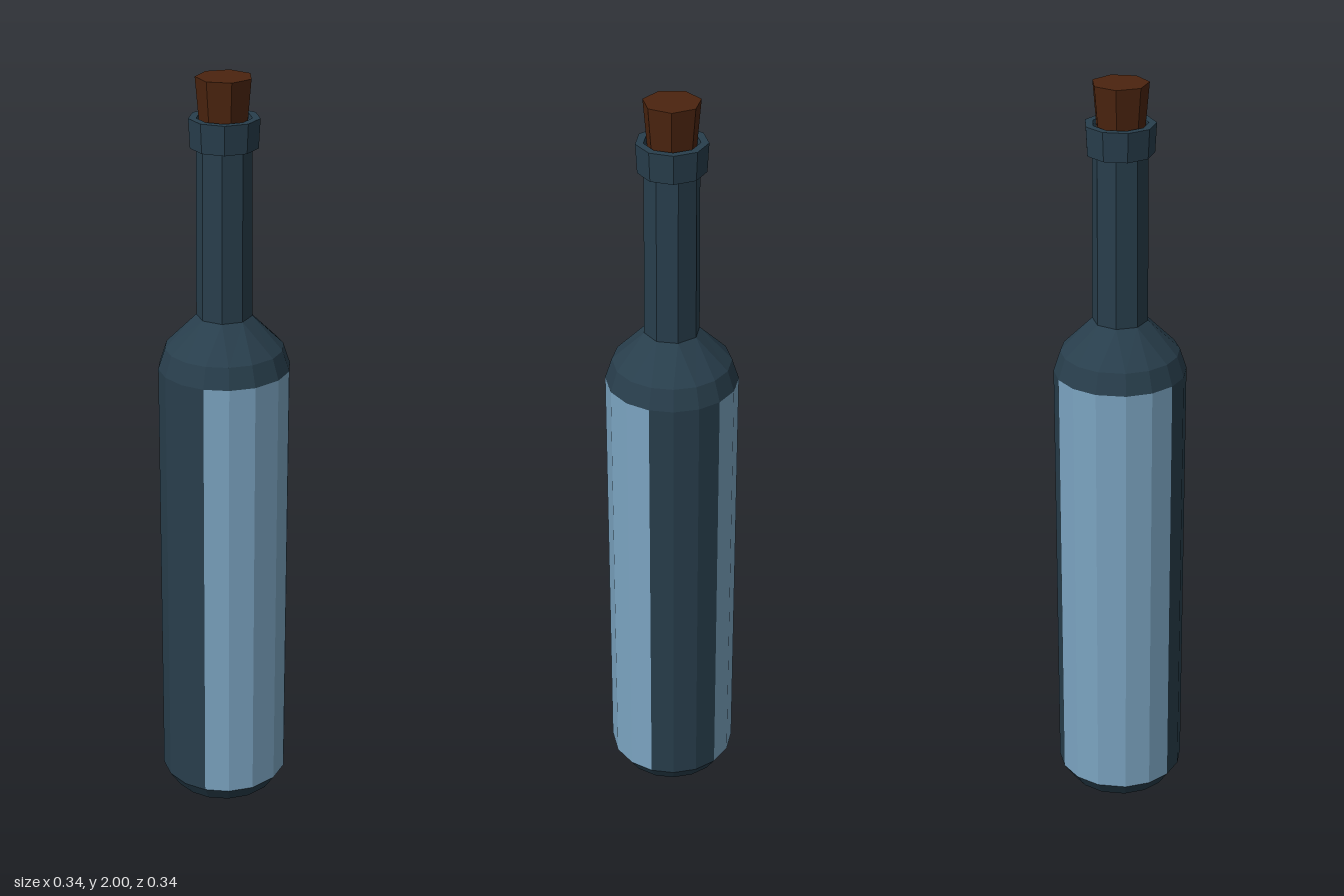
import * as THREE from 'three';

const glass = new THREE.MeshStandardMaterial({ color: 0x283e4c, flatShading: true });
glass.name = 'darkGlass';
const paper = new THREE.MeshStandardMaterial({ color: 0x7ba4c1, flatShading: true });
paper.name = 'paleBlueLabel';
const corkBrown = new THREE.MeshStandardMaterial({ color: 0x4b240f, flatShading: true });
corkBrown.name = 'corkBrown';

const rad = Math.PI / 180;

// Corner angles around the body, measured from the front (+z) towards +x
const bodyAngles = [-13, 13, 36, 58, 79, 101, 122, 144, 167, 193, 216, 238, 259, 281, 302, 324];
// Neck corners: each neighbouring pair of body corners merges into one
const neckAngles = bodyAngles.map((_, i) => Math.floor(i / 2) * 45);
const evenAngles = (n, start) => Array.from({ length: n }, (_, i) => start + (i * 360) / n);

// Joins rings { y, r, angles } from bottom to top; sides for which paperSide(side, band) holds use material 1
function loft(rings, { capBottom = false, capTop = false, paperSide = () => false } = {}) {
  const faces = [[], []];
  const point = ({ y, r, angles }, i) => {
    const a = angles[i % angles.length] * rad;
    return [r * Math.sin(a), y, r * Math.cos(a)];
  };
  const n = rings[0].angles.length;
  const last = rings.length - 1;
  for (let b = 0; b < last; b++) {
    for (let i = 0; i < n; i++) {
      const p = point(rings[b], i), q = point(rings[b], i + 1);
      const s = point(rings[b + 1], i), t = point(rings[b + 1], i + 1);
      const out = faces[paperSide(i, b) ? 1 : 0];
      if (p.join() !== q.join()) out.push(...p, ...q, ...t);
      if (s.join() !== t.join()) out.push(...p, ...t, ...s);
    }
  }
  for (let i = 0; i < n; i++) {
    if (capBottom) faces[0].push(0, rings[0].y, 0, ...point(rings[0], i + 1), ...point(rings[0], i));
    if (capTop) faces[0].push(0, rings[last].y, 0, ...point(rings[last], i), ...point(rings[last], i + 1));
  }
  const geometry = new THREE.BufferGeometry();
  geometry.setAttribute('position', new THREE.Float32BufferAttribute([...faces[0], ...faces[1]], 3));
  geometry.addGroup(0, faces[0].length / 3, 0);
  geometry.addGroup(faces[0].length / 3, faces[1].length / 3, 1);
  geometry.computeVertexNormals();
  return geometry;
}

export function createModel() {
  const model = new THREE.Group();
  model.name = 'corkedBottle';
  const add = (name, geometry, material) => {
    const mesh = new THREE.Mesh(geometry, material);
    mesh.name = name;
    model.add(mesh);
  };

  // Body with a label wrapped over five facets at the front and five at the back
  const labelled = (side, band) => band === 1 && ([14, 15, 0, 1, 2].includes(side) || (side >= 6 && side <= 10));
  const ring = (y, r) => ({ y, r, angles: bodyAngles });
  add('bodyWithLabels', loft(
    [ring(0, 0.142), ring(0.045, 0.172), ring(1.245, 0.172)],
    { capBottom: true, paperSide: labelled },
  ), [glass, paper]);

  // Shoulder narrowing from the body to an eight-sided neck
  add('shoulder', loft([
    ring(1.245, 0.172), ring(1.3, 0.154), { y: 1.385, r: 0.072, angles: neckAngles },
  ]), glass);
  add('neck', loft([
    { y: 1.385, r: 0.072, angles: neckAngles }, { y: 1.83, r: 0.07, angles: neckAngles },
  ]), glass);

  // Hollow lip ring
  const nine = evenAngles(9, 0);
  add('lip', loft([
    { y: 1.825, r: 0.062, angles: nine }, { y: 1.825, r: 0.086, angles: nine },
    { y: 1.9, r: 0.09, angles: nine }, { y: 1.9, r: 0.07, angles: nine },
    { y: 1.84, r: 0.062, angles: nine },
  ]), glass);

  // Tapered seven-sided cork
  const seven = evenAngles(7, 180);
  add('cork', loft(
    [{ y: 1.84, r: 0.058, angles: seven }, { y: 2, r: 0.072, angles: seven }],
    { capBottom: true, capTop: true },
  ), corkBrown);

  return model;
}
